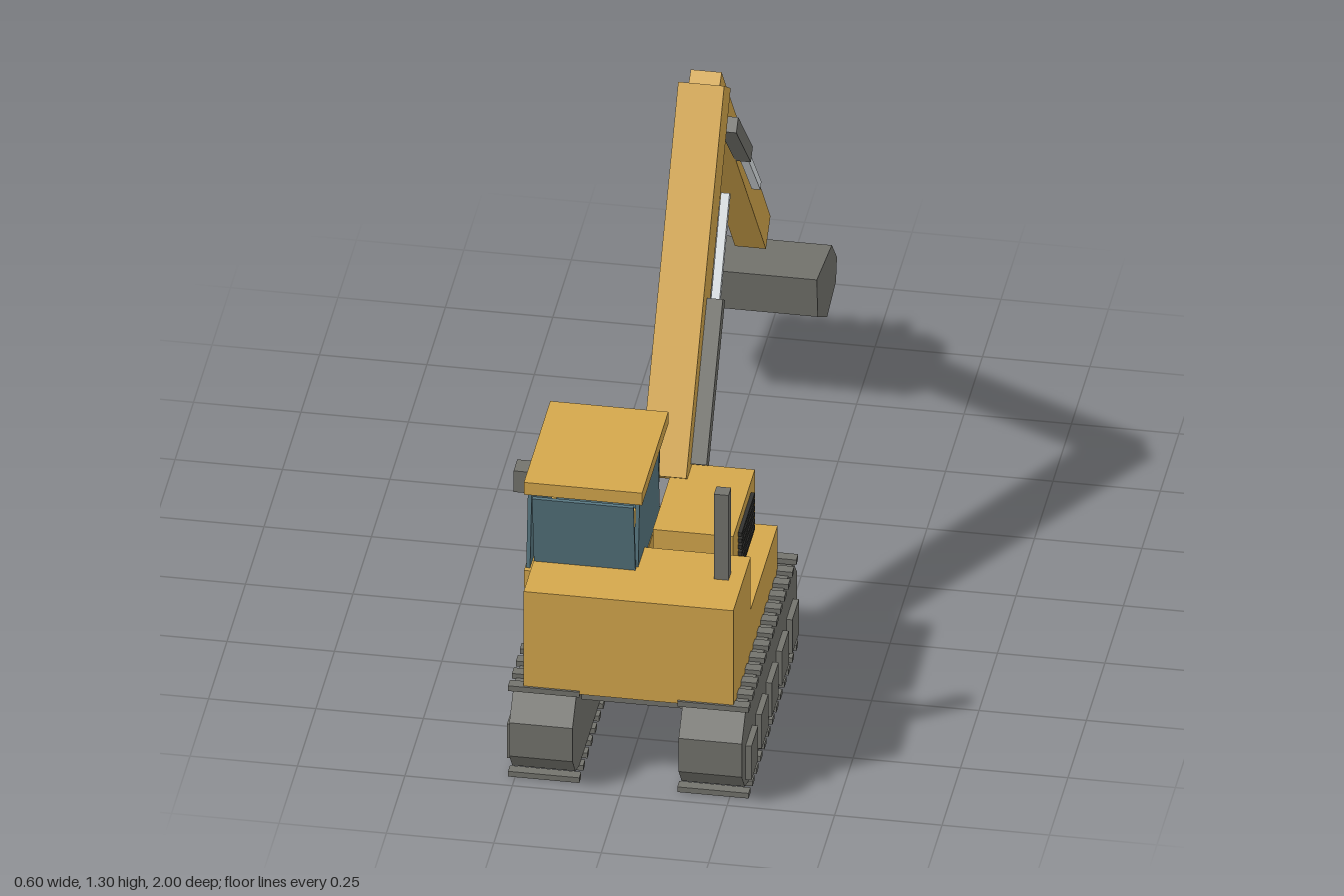
import * as THREE from 'three';

const material = (name, color) => {
  const m = new THREE.MeshStandardMaterial({ color });
  m.name = name;
  return m;
};

export function createModel() {
  const yellow = material('yellow paint', 0xd4a74c);
  const grey = material('grey steel', 0x73736d);
  const glass = material('blue glass', 0x56757f);
  const chrome = material('polished rod', 0xdde3e6);
  const dark = material('dark vent', 0x333331);
  const model = new THREE.Group();
  model.name = 'excavator';
  const CX = 0.0135; // centre line of the machine

  const add = (name, geometry, mat, parent = model) => {
    const mesh = new THREE.Mesh(geometry, mat);
    mesh.name = name;
    parent.add(mesh);
    return mesh;
  };
  // Box given by its limits on each axis
  const box = (name, mat, [x0, x1], [y0, y1], [z0, z1], parent) => {
    const mesh = add(name, new THREE.BoxGeometry(x1 - x0, y1 - y0, z1 - z0), mat, parent);
    mesh.position.set((x0 + x1) / 2, (y0 + y1) / 2, (z0 + z1) / 2);
    return mesh;
  };
  // Side profile of [z, y] points, extruded across x
  const profile = (name, mat, points, x0, x1, parent) => {
    const shape = new THREE.Shape(points.map(([z, y]) => new THREE.Vector2(z, y)));
    const g = new THREE.ExtrudeGeometry(shape, { depth: x1 - x0, bevelEnabled: false });
    g.rotateY(-Math.PI / 2).translate(x1, 0, 0);
    return add(name, g, mat, parent);
  };
  // Straight bar between two [z, y] points
  const bar = (name, mat, a, b, x, width, thick, parent) => {
    const dz = b[0] - a[0], dy = b[1] - a[1];
    const mesh = add(name, new THREE.BoxGeometry(width, Math.hypot(dz, dy), thick), mat, parent);
    mesh.position.set(x, (a[1] + b[1]) / 2, (a[0] + b[0]) / 2);
    mesh.rotation.x = Math.atan2(dz, dy);
    return mesh;
  };

  // Tracks with treads and side panels
  const trackProfile = [
    [0.25, 0.08], [0.29, 0.03], [0.34, 0.013], [0.91, 0.013], [0.96, 0.03],
    [1, 0.08], [1, 0.17], [0.95, 0.225], [0.91, 0.235], [0.34, 0.235], [0.3, 0.225], [0.25, 0.17],
  ];
  for (const side of [-1, 1]) {
    const track = new THREE.Group();
    track.name = side > 0 ? 'leftTrack' : 'rightTrack';
    model.add(track);
    const x = CX + side * 0.197;
    profile('trackBelt', grey, trackProfile, x - 0.0735, x + 0.0735, track);
    for (let i = 0; i < 13; i++) {
      const z = 0.305 + i * 0.0537;
      for (const y of [0, 0.232]) {
        box('tread', grey, [x - 0.083, x + 0.083], [y, y + 0.014], [z - 0.013, z + 0.013], track);
      }
    }
    const outer = x + side * 0.079;
    for (let i = 0; i < 5; i++) {
      const z = 0.353 + i * 0.1378;
      box('trackPanel', grey, [outer - 0.0085, outer + 0.0085], [0.042, 0.134], [z - 0.045, z + 0.045], track);
    }
  }
  box('undercarriage', grey, [-0.12, 0.147], [0.175, 0.24], [0.37, 0.88]);

  // Body: low deck with the raised counterweight behind
  profile('body', yellow, [
    [0.358, 0.237], [0.957, 0.237], [0.957, 0.502], [0.722, 0.502], [0.722, 0.36], [0.358, 0.36],
  ], -0.231, 0.257);

  // Engine housing, vent and exhaust
  box('engineHousing', yellow, [0.026, 0.213], [0.377, 0.54], [0.41, 0.703]);
  for (let i = 0; i < 6; i++) {
    const y = 0.419 + i * 0.0174;
    box('ventSlat', dark, [0.21, 0.222], [y - 0.005, y + 0.005], [0.463, 0.638]);
  }
  box('exhaust', grey, [0.19, 0.224], [0.49, 0.732], [0.796, 0.83]);

  // Cab: floor, leaning end panes, tapered side panes, roof and mirror
  const cab = new THREE.Group();
  cab.name = 'cab';
  model.add(cab);
  box('cabFloor', yellow, [-0.253, 0.012], [0.428, 0.475], [0.5, 0.825], cab);
  bar('frontPane', glass, [0.515, 0.47], [0.484, 0.687], -0.112, 0.236, 0.009, cab);
  bar('rearPane', glass, [0.815, 0.47], [0.845, 0.687], -0.112, 0.236, 0.009, cab);
  const paneProfile = [[0.515, 0.47], [0.813, 0.47], [0.785, 0.7], [0.545, 0.7]];
  profile('rightPane', glass, paneProfile, -0.25, -0.241, cab);
  profile('leftPane', glass, paneProfile, 0.001, 0.01, cab);
  box('cabRoof', yellow, [-0.25, 0.025], [0.692, 0.725], [0.488, 0.843], cab);
  box('mirror', grey, [-0.3, -0.249], [0.6, 0.657], [0.642, 0.692], cab);

  // Boom and stick
  bar('boom', yellow, [0.447, 0.52], [-0.067, 1.265], CX, 0.107, 0.107);
  bar('stick', yellow, [-0.06, 1.263], [-0.72, 0.463], CX, 0.072, 0.08);

  // Hydraulic cylinders on the side of the arm
  bar('boomCylinder', grey, [0.415, 0.542], [0.195, 0.855], 0.0855, 0.037, 0.037);
  bar('boomRod', chrome, [0.2, 0.848], [0.062, 1.06], 0.0855, 0.02, 0.02);
  bar('stickCylinder', grey, [-0.105, 1.14], [-0.302, 0.938], 0.065, 0.037, 0.037);
  bar('stickRod', chrome, [-0.298, 0.942], [-0.473, 0.746], 0.065, 0.02, 0.02);

  // Bucket with five teeth
  profile('bucket', grey, [
    [-0.672, 0.377], [-0.875, 0.345], [-0.944, 0.27], [-0.93, 0.211], [-0.81, 0.19], [-0.683, 0.27],
  ], -0.149, 0.171);
  for (let i = -2; i <= 2; i++) {
    const x = 0.0115 + i * 0.063;
    box('bucketTooth', grey, [x - 0.017, x + 0.017], [0.187, 0.238], [-1, -0.915]);
  }
  return model;
}
